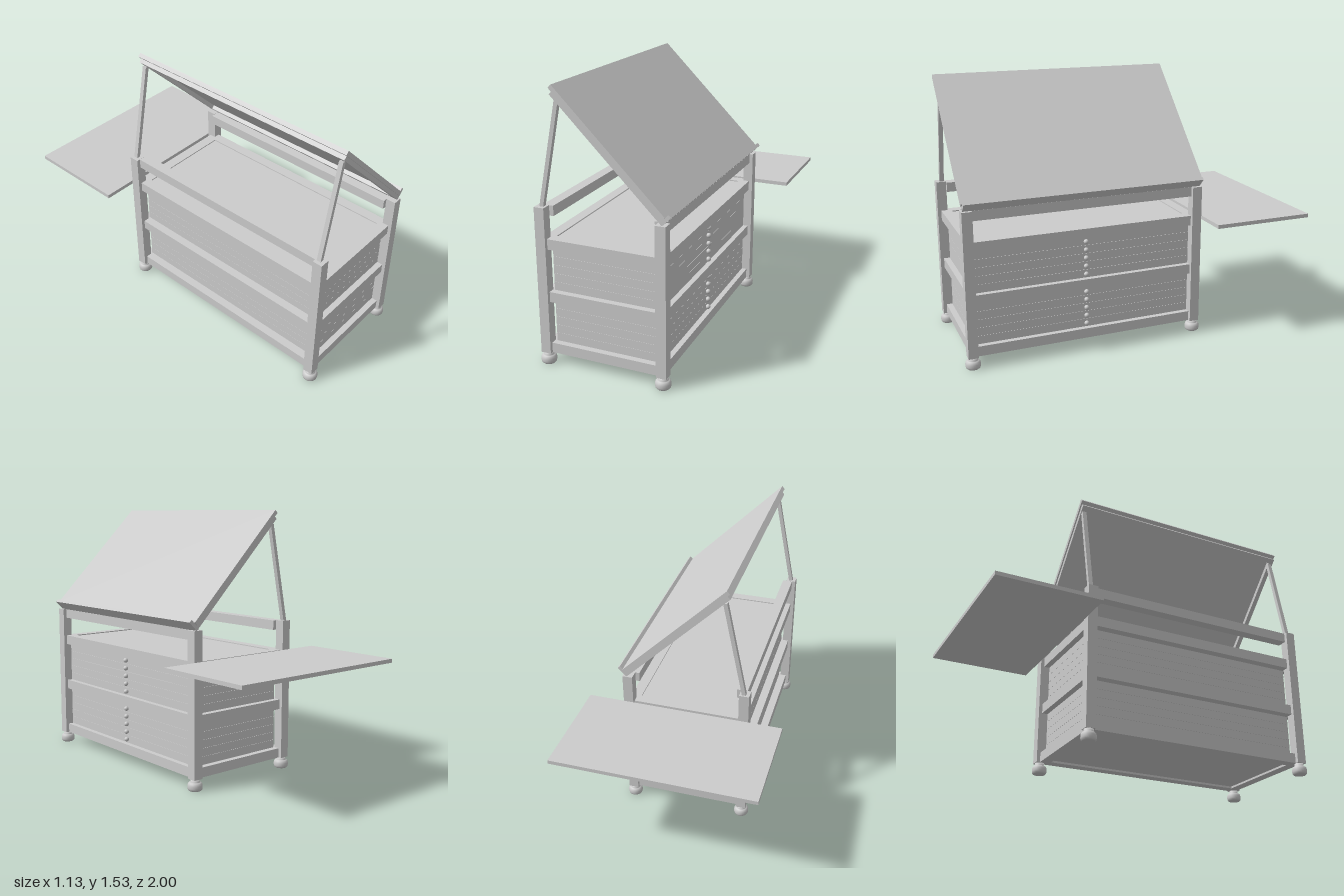
import * as THREE from 'three';

const material = new THREE.MeshStandardMaterial({ color: 0xcccccc });

// Box given by its extents on each axis.
function box(parent, name, [x0, x1], [y0, y1], [z0, z1]) {
  const mesh = new THREE.Mesh(new THREE.BoxGeometry(x1 - x0, y1 - y0, z1 - z0), material);
  mesh.position.set((x0 + x1) / 2, (y0 + y1) / 2, (z0 + z1) / 2);
  mesh.name = name;
  parent.add(mesh);
  return mesh;
}

export function createModel() {
  const model = new THREE.Group();
  model.name = 'draftingTable';

  const postX = [[-0.373, -0.316], [0.3, 0.357]];
  const postZ = [[-0.406, -0.349], [0.931, 0.988]];
  const railX = [[-0.352, -0.292], [0.276, 0.336]];
  const railZ = [[-0.386, -0.326], [0.908, 0.968]];
  const spanX = [-0.317, 0.301], spanZ = [-0.35, 0.932];
  const tiers = [[0.065, 0.122], [0.362, 0.42], [0.66, 0.718]];

  // Corner posts on turned bun feet
  const footProfile = [
    [0, 0], [0.034, 0], [0.04, 0.006], [0.0425, 0.016], [0.0425, 0.03],
    [0.039, 0.041], [0.033, 0.047], [0.026, 0.049], [0.026, 0.067], [0, 0.067],
  ].map(([r, y]) => new THREE.Vector2(r, y));
  const footGeometry = new THREE.LatheGeometry(footProfile, 24);
  for (const x of postX) for (const z of postZ) {
    box(model, 'post', x, [0.065, 0.892], z);
    const foot = new THREE.Mesh(footGeometry, material);
    foot.name = 'foot';
    foot.position.set((x[0] + x[1]) / 2, 0, (z[0] + z[1]) / 2);
    model.add(foot);
  }

  // Rails around the cabinet, and the two long rails under the board
  for (const y of tiers) {
    for (const x of railX) box(model, 'sideRail', x, y, spanZ);
    for (const z of railZ) box(model, 'endRail', spanX, y, z);
  }
  for (const x of railX) box(model, 'upperRail', x, [0.835, 0.891], spanZ);

  // Panels closing the bottom, the middle and the top of the cabinet
  for (const [y0, y1] of tiers) {
    box(model, 'panel', [-0.293, 0.277], [y0 + 0.012, y1 - 0.006], [-0.327, 0.909]);
  }

  // Two stacks of five shallow drawers with round knobs
  const knobGeometry = new THREE.SphereGeometry(0.014, 16, 10);
  for (const tier of [0, 1]) {
    const bottom = tiers[tier][1];
    const height = (tiers[tier + 1][0] - bottom) / 5;
    for (let i = 0; i < 5; i++) {
      const y = bottom + i * height;
      box(model, 'drawer', [-0.304, 0.306], [y + 0.0005, y + height - 0.0005], [-0.352, 0.934]);
      const knob = new THREE.Mesh(knobGeometry, material);
      knob.name = 'knob';
      knob.position.set(0.316, y + height / 2, 0.291);
      model.add(knob);
    }
  }

  // Side table at the back end
  box(model, 'backShelf', [-0.566, 0.562], [0.698, 0.72], [-1, -0.406]);

  // Tilted drawing board: local x is the surface normal, local y runs up the slope
  const board = new THREE.Group();
  board.name = 'drawingBoard';
  board.rotation.z = Math.PI / 4;
  model.add(board);
  const boardZ = [-0.408, 0.988];
  box(board, 'boardTop', [0.89, 0.914], [0.413, 1.252], boardZ);
  box(board, 'pencilLip', [0.866, 0.936], [0.393, 0.413], [-0.4, 0.98]);

  // Frame beneath the board
  const frameN = [0.866, 0.89];
  for (const z of [[-0.4, -0.37], [0.95, 0.98]]) box(board, 'frameSide', frameN, [0.413, 1.229], z);
  for (const u of [[0.413, 0.443], [1.199, 1.229]]) box(board, 'frameBar', frameN, u, [-0.37, 0.95]);

  // Struts from the right-hand posts up to the board
  const foot = new THREE.Vector2(-0.342, 0.888), head = new THREE.Vector2(-0.228, 1.45);
  const along = head.clone().sub(foot);
  for (const z of [-0.383, 0.953]) {
    const half = along.length() / 2;
    const strut = box(model, 'strut', [-0.011, 0.011], [-half, half], [z - 0.0125, z + 0.0125]);
    strut.position.set((foot.x + head.x) / 2, (foot.y + head.y) / 2, z);
    strut.rotation.z = Math.atan2(along.y, along.x) - Math.PI / 2;
  }

  return model;
}
